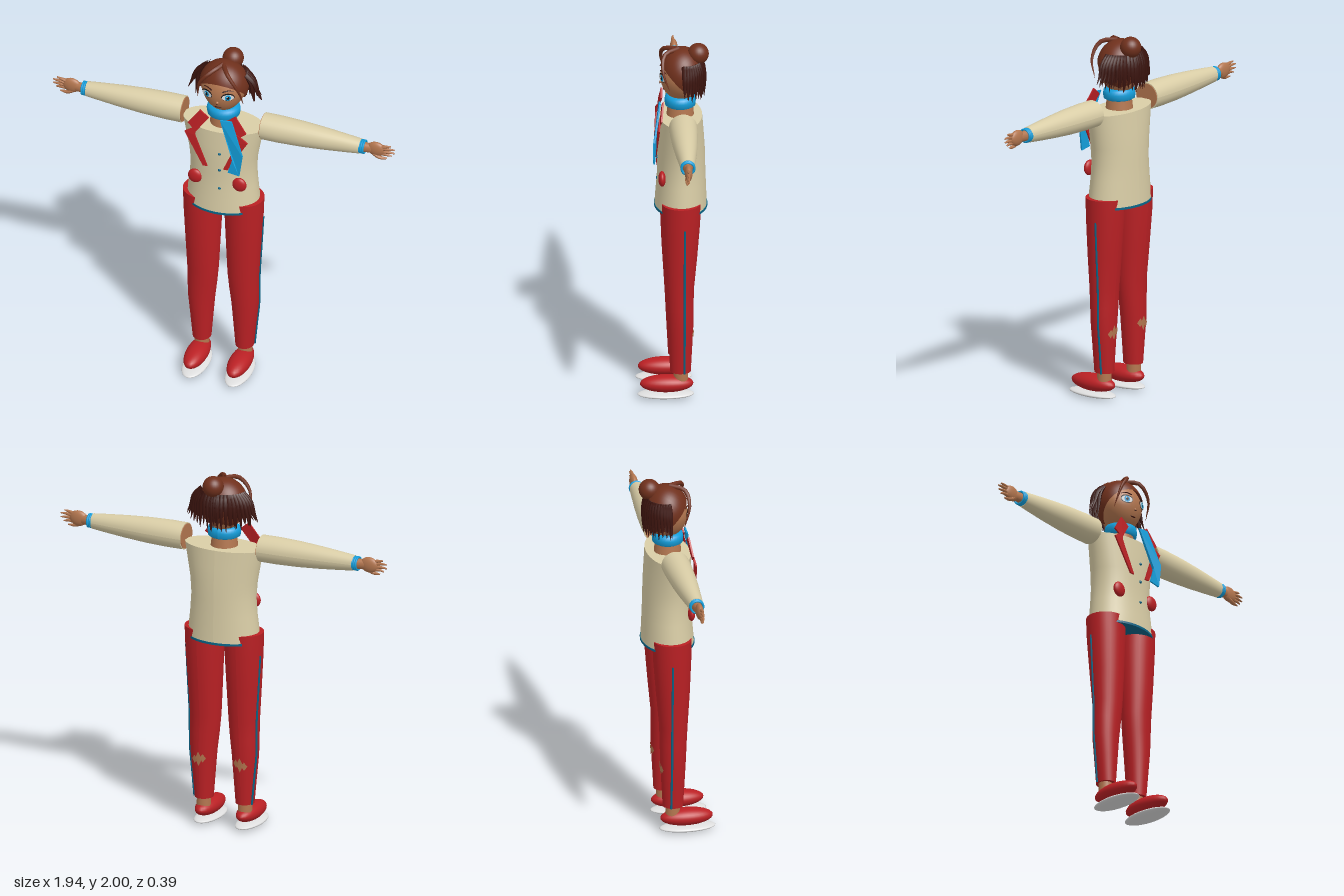
import * as THREE from 'three';

const mat = (name, color, side = THREE.FrontSide) => {
  const m = new THREE.MeshStandardMaterial({ color, side });
  m.name = name;
  return m;
};

export function createModel() {
  const cream = mat('cream cloth', 0xd9cda6), red = mat('red cloth', 0xba2024);
  const blue = mat('bright blue', 0x149fdc), teal = mat('dark teal', 0x0b6688);
  const skin = mat('skin', 0xb3764f), hair = mat('brown hair', 0x6f301c, THREE.DoubleSide);
  const darkHair = mat('dark hair', 0x3c140e), white = mat('white', 0xdedede), black = mat('black', 0x1c1414);

  const model = new THREE.Group();
  model.name = 'figure';
  const add = (parent, name, geo, material, x = 0, y = 0, z = 0) => {
    const m = new THREE.Mesh(geo, material);
    m.name = name;
    m.position.set(x, y, z);
    parent.add(m);
    return m;
  };
  const ball = (rx, ry, rz) => new THREE.SphereGeometry(1, 28, 18).scale(rx, ry, rz);

  // Stacked elliptic cross-sections [y, rx, rz, cx, cz], lowest first
  const stack = (list, seg = 32) => {
    const n = list.length - 1;
    const g = new THREE.CylinderGeometry(1, 1, 1, seg, n).rotateY(Math.PI);
    const p = g.attributes.position;
    for (let i = 0; i < p.count; i++) {
      const [y, rx, rz, cx = 0, cz = 0] = list[Math.round((p.getY(i) + 0.5) * n)];
      p.setXYZ(i, cx + p.getX(i) * rx, y, cz + p.getZ(i) * rz);
    }
    g.computeVertexNormals();
    return g;
  };

  // Tube along points, narrowing to the given fraction at its end
  const taper = (pts, r, end = 0.05, steps = 10, sides = 8) => {
    const curve = new THREE.CatmullRomCurve3(pts.map(q => new THREE.Vector3(...q)));
    const g = new THREE.TubeGeometry(curve, steps, r, sides);
    const p = g.attributes.position, v = new THREE.Vector3();
    for (let i = 0; i < p.count; i++) {
      const t = Math.floor(i / (sides + 1)) / steps;
      const c = curve.getPointAt(t);
      v.fromBufferAttribute(p, i).sub(c).multiplyScalar(1 - (1 - end) * t * t).add(c);
      p.setXYZ(i, v.x, v.y, v.z);
    }
    g.computeVertexNormals();
    return g;
  };

  // Thin cloth piece leaning out toward its lower end
  const clothPiece = (pts, lift) => {
    const s = new THREE.Shape(pts.map(q => new THREE.Vector2(...q)));
    const g = new THREE.ExtrudeGeometry(s, { depth: 0.009, bevelEnabled: false });
    const p = g.attributes.position;
    for (let i = 0; i < p.count; i++) {
      const k = THREE.MathUtils.clamp((1.68 - p.getY(i)) / 0.2, 0, 1);
      p.setZ(i, p.getZ(i) + lift + 0.035 * k);
    }
    g.computeVertexNormals();
    return g;
  };

  // Jacket, hem and buttons
  add(model, 'jacket', stack([
    [1.07, 0.203, 0.14, 0, -0.042], [1.14, 0.198, 0.136, 0, -0.043], [1.22, 0.189, 0.131, 0, -0.045],
    [1.31, 0.183, 0.128, 0, -0.045], [1.40, 0.19, 0.128, 0, -0.043], [1.49, 0.207, 0.124, 0, -0.041],
    [1.59, 0.226, 0.117, 0, -0.04]], 40), cream);
  add(model, 'jacketHem', stack([[1.067, 0.205, 0.143, 0, -0.042], [1.079, 0.205, 0.143, 0, -0.042]], 40), teal);
  for (const y of [1.455, 1.35, 1.23]) add(model, 'button', ball(0.008, 0.008, 0.006), teal, 0.02, y, 0.085);

  // Neck and scarf
  add(model, 'neck', new THREE.CylinderGeometry(0.06, 0.075, 0.14, 24), skin, 0, 1.645, -0.04);
  add(model, 'scarf', stack([
    [1.64, 0.074, 0.07, 0, -0.04], [1.648, 0.088, 0.082, 0, -0.04], [1.675, 0.092, 0.084, 0, -0.04],
    [1.695, 0.087, 0.08, 0, -0.04], [1.702, 0.07, 0.065, 0, -0.04]]), blue);
  add(model, 'scarfTail', clothPiece([[0.02, 1.67], [0.10, 1.45], [0.075, 1.365], [0.14, 1.355],
    [0.158, 1.485], [0.085, 1.675]], 0.066), blue);

  // Everything that comes in pairs, built on the left side
  const side = new THREE.Group();
  side.name = 'leftSide';
  add(side, 'lapelTop', clothPiece([[0.05, 1.66], [0.10, 1.70], [0.165, 1.61], [0.115, 1.57]], 0.05), red);
  add(side, 'lapelBottom', clothPiece([[0.112, 1.60], [0.178, 1.56], [0.07, 1.37], [0.045, 1.37], [0.12, 1.55]], 0.055), red);
  add(side, 'pocket', ball(0.04, 0.042, 0.02), red, 0.125, 1.265, 0.063);

  // Leg with side stripe and torn patches
  const leg = [[0.15, 0.05, 0.055, 0.121, -0.036], [0.3, 0.063, 0.063, 0.122, -0.036], [0.42, 0.074, 0.069, 0.123, -0.036],
    [0.52, 0.081, 0.072, 0.118, -0.034], [0.62, 0.086, 0.076, 0.114, -0.032], [0.8, 0.095, 0.09, 0.115, -0.035],
    [1.0, 0.105, 0.102, 0.116, -0.039], [1.12, 0.108, 0.105, 0.117, -0.04]];
  add(side, 'trouserLeg', stack(leg), red);
  const seam = leg.slice(0, 7).map(([y, rx, , cx]) => new THREE.Vector3(cx + rx * 0.98, y, -0.055));
  add(side, 'sideStripe', new THREE.TubeGeometry(new THREE.CatmullRomCurve3(seam), 30, 0.006, 6), teal);
  for (const [dx, y, w, h] of [[0, 0.38, 0.02, 0.042], [0.024, 0.375, 0.017, 0.024], [-0.024, 0.385, 0.017, 0.024]]) {
    const g = new THREE.CircleGeometry(1, 4).scale(w, h, 1).rotateY(Math.PI).translate(0.1225 + dx, y, 0);
    const p = g.attributes.position;
    for (let i = 0; i < p.count; i++) {
      const u = (p.getX(i) - 0.1225) / 0.075, r = 0.067 + (p.getY(i) - 0.38) * 0.05;
      p.setZ(i, -0.04 - r * Math.sqrt(1 - u * u));
    }
    g.computeVertexNormals();
    add(side, 'tornPatch', g, skin);
  }
  add(side, 'ankle', new THREE.CylinderGeometry(0.038, 0.04, 0.1, 20), skin, 0.122, 0.12, -0.038);
  add(side, 'shoe', ball(0.06, 0.047, 0.143), red, 0.122, 0.08, 0.038);
  add(side, 'sole', ball(0.068, 0.018, 0.152), white, 0.122, 0.02, 0.043);

  // Arm, built upright and laid along x
  const arm = new THREE.Group();
  arm.name = 'arm';
  arm.position.set(0, 1.605, -0.045);
  side.add(arm);
  const across = g => g.rotateZ(-Math.PI / 2);
  add(arm, 'sleeve', across(stack([[0.225, 0.073, 0.075], [0.32, 0.074, 0.074], [0.45, 0.07, 0.068], [0.58, 0.061, 0.058],
    [0.69, 0.051, 0.047], [0.775, 0.042, 0.039]])), cream);
  add(arm, 'armEnd', across(stack([[0.221, 0.068, 0.07], [0.23, 0.068, 0.07]])), skin);
  add(arm, 'wrist', across(stack([[0.76, 0.034, 0.03], [0.81, 0.028, 0.022], [0.85, 0.027, 0.018]])), skin);
  for (const x of [0.774, 0.785, 0.796])
    add(arm, 'cuffRing', new THREE.TorusGeometry(0.034, 0.006, 8, 28).rotateY(Math.PI / 2), blue, x);
  add(arm, 'palm', ball(0.052, 0.043, 0.021), skin, 0.862, 0.003);
  for (const [y0, x1, y1] of [[0.022, 0.945, 0.037], [0.008, 0.968, 0.018], [-0.007, 0.967, -0.004], [-0.02, 0.95, -0.025]])
    add(arm, 'finger', taper([[0.88, y0, 0], [0.925, (y0 + y1) / 2 + 0.003, 0.003], [x1, y1, 0]], 0.0105, 0.3), skin);
  add(arm, 'thumb', taper([[0.85, -0.025, 0.005], [0.885, -0.042, 0.008], [0.925, -0.043, 0.004]], 0.012, 0.3), skin);

  model.add(side);
  const other = side.clone();
  other.name = 'rightSide';
  other.scale.x = -1;
  model.add(other);

  // Head with a narrower chin
  const headGeo = ball(0.122, 0.135, 0.112);
  const hp = headGeo.attributes.position;
  for (let i = 0; i < hp.count; i++) {
    const k = 1 - 0.18 * Math.max(0, -hp.getY(i) / 0.135);
    hp.setX(i, hp.getX(i) * k);
  }
  headGeo.computeVertexNormals();
  add(model, 'head', headGeo, skin, 0, 1.81, -0.045);

  // Eyes layered from thin discs, then nose and mouth
  const disc = (w, h) => new THREE.CircleGeometry(1, 24).scale(w, h, 1);
  for (const s of [-1, 1]) {
    const eye = new THREE.Group();
    eye.name = s > 0 ? 'leftEye' : 'rightEye';
    eye.position.set(s * 0.056, 1.82, 0.053);
    eye.rotation.y = s * 0.42;
    add(eye, 'eyeOutline', disc(0.036, 0.024), black, 0, 0.002, 0.006);
    add(eye, 'eyeWhite', disc(0.033, 0.019), white, 0, 0, 0.008);
    add(eye, 'iris', disc(0.016, 0.018), blue, 0, 0, 0.010);
    add(eye, 'pupil', disc(0.008, 0.010), black, 0, 0, 0.012);
    add(eye, 'glint', disc(0.004, 0.004), white, -0.005, 0.006, 0.014);
    add(eye, 'eyebrow', taper([[-s * 0.03, 0.032, 0.002], [0, 0.04, 0.002], [s * 0.032, 0.033, -0.004]], 0.0035, 0.4), darkHair);
    model.add(eye);
  }
  add(model, 'nose', ball(0.008, 0.008, 0.008), skin, 0, 1.775, 0.064);
  add(model, 'noseTip', ball(0.004, 0.003, 0.003), darkHair, 0, 1.769, 0.069);
  add(model, 'mouth', ball(0.02, 0.0035, 0.004), darkHair, 0, 1.738, 0.049);

  // Hair cap tilted back, bun and fringe
  add(model, 'hairCap', new THREE.SphereGeometry(1, 36, 20, 0, Math.PI * 2, 0, Math.PI * 0.6)
    .rotateX(-0.75).scale(0.134, 0.14, 0.12), hair, 0, 1.83, -0.048);
  add(model, 'bun', ball(0.057, 0.057, 0.057), hair, 0.02, 1.943, -0.135);
  add(model, 'rightFringe', taper([[0, 1.965, -0.03], [-0.045, 1.95, 0.045], [-0.1, 1.885, 0.06], [-0.125, 1.76, 0.025]], 0.013), hair);
  add(model, 'leftFringe', taper([[0, 1.965, -0.03], [0.055, 1.95, 0.045], [0.115, 1.87, 0.055], [0.132, 1.77, 0.02]], 0.013), hair);

  // Dark pointed locks around the back, flaring at the sides
  const locks = new THREE.Group();
  locks.name = 'backLocks';
  model.add(locks);
  for (const [count, flare] of [[23, 1], [18, 0.35]]) {
    for (let i = 0; i < count; i++) {
      const a = (i / (count - 1) - 0.5) * Math.PI * 1.02;
      const sx = Math.sin(a), cz = Math.cos(a), out = sx * sx * flare;
      const at = (rx, y, rz) => [sx * rx, y, -0.06 - cz * rz];
      const tip = 1.70 + 0.05 * out + (i % 3) * 0.012;
      add(locks, 'lock', taper([at(0.118, 1.905, 0.085), at(0.138 + 0.025 * out, 1.86, 0.103),
        at(0.14 + 0.045 * out, 1.80, 0.11), at(0.142 + 0.066 * out, tip, 0.108)], 0.015, 0.06, 8, 6), darkHair);
    }
  }
  return model;
}
